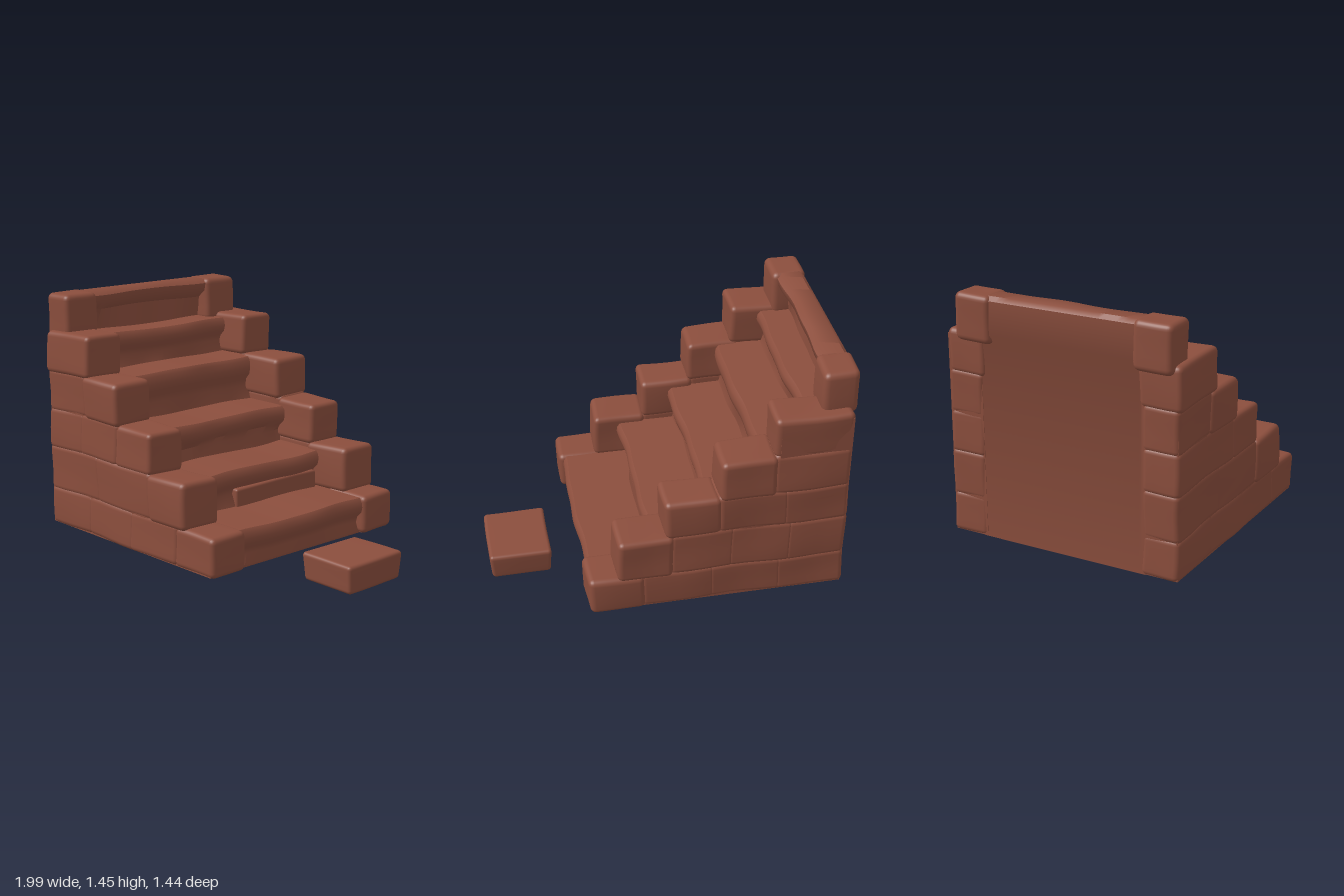
import * as THREE from 'three';
import { mergeVertices, toCreasedNormals } from 'three/addons/utils/BufferGeometryUtils.js';

const clay = new THREE.MeshStandardMaterial({ color: 0x8b4e3d });
clay.name = 'redClay';

// Smooth, repeatable unevenness for hand-cut stone
function wobble(x, y, z, a) {
  return [
    a * Math.sin(9 * z + 7 * y + 1) * Math.cos(5 * y - 4 * z),
    a * 0.6 * Math.sin(8 * x + 6 * z + 2),
    a * Math.sin(8 * x + 9 * y) * Math.cos(6 * y - 5 * x + 1),
  ];
}

// Rounded, slightly uneven block between two corners; taper narrows its foot
function stone(name, min, max, r = 0.035, a = 0.008, taper = 0) {
  const n = 10;
  let g = new THREE.BoxGeometry(1, 1, 1, n, n, n);
  g.deleteAttribute('normal');
  g.deleteAttribute('uv');
  g = mergeVertices(g);
  const p = g.attributes.position;
  for (let i = 0; i < p.count; i++) {
    const raw = [p.getX(i), p.getY(i), p.getZ(i)];
    // Pack the outer three rings of the grid into the rounded edge
    const q = raw.map((v, k) => {
      const t = Math.round((v + 0.5) * n);
      const size = max[k] - min[k];
      const edge = Math.min(t, n - t);
      const d = edge <= 3 ? r * edge / 3 : r + (size - 2 * r) * (edge - 3) / (n - 6);
      return t <= n / 2 ? min[k] + d : max[k] - d;
    });
    const c = q.map((v, k) => Math.min(Math.max(v, min[k] + r), max[k] - r));
    const d = new THREE.Vector3(q[0] - c[0], q[1] - c[1], q[2] - c[2]);
    if (d.lengthSq() > 0) d.setLength(r);
    const v = [c[0] + d.x, c[1] + d.y, c[2] + d.z];
    const w = wobble(...v, a);
    const h = (v[1] - min[1]) / (max[1] - min[1]);
    const s = 1 - taper * (1 - h);
    const mx = (min[0] + max[0]) / 2, mz = (min[2] + max[2]) / 2;
    p.setXYZ(i, mx + (v[0] - mx) * s + w[0], v[1] + w[1], mz + (v[2] - mz) * s + w[2]);
  }
  g.computeVertexNormals();
  const mesh = new THREE.Mesh(g, clay);
  mesh.name = name;
  return mesh;
}

// Side profile swept along z, with wavy step edges
function sweep(name, points, z0, z1, a) {
  const shape = new THREE.Shape(points.map(([x, y]) => new THREE.Vector2(x, y)));
  const g = new THREE.ExtrudeGeometry(shape, { depth: z1 - z0, steps: 28, bevelEnabled: false });
  g.translate(0, 0, z0);
  const p = g.attributes.position;
  for (let i = 0; i < p.count; i++) {
    const x = p.getX(i), y = p.getY(i), z = p.getZ(i);
    if (x < -0.9 || y < 0.1) continue;
    const k = Math.round(y * 4.3) * 1.7;
    p.setX(i, x + a * (Math.sin(7 * z + k) + 0.5 * Math.sin(17 * z + 2 * k)));
    p.setY(i, y + a * 0.5 * Math.sin(9 * z + 2 * k));
  }
  const mesh = new THREE.Mesh(toCreasedNormals(g, 0.75), clay);
  mesh.name = name;
  return mesh;
}

export function createModel() {
  const group = new THREE.Group();
  group.name = 'stoneStairs';
  const base = 0.08, back = -0.955;

  // Treads with rounded nosings over hollow risers, from the foot upwards
  const treads = [[0.48, 0.3], [0.13, 0.515], [-0.18, 0.735], [-0.46, 1.0], [-0.7, 1.21]];
  const profile = [[-0.945, base], [0.44, base]];
  let floor = base;
  for (const [x, y] of treads) {
    const h = y - floor;
    profile.push(
      [x - 0.035, floor + (floor > base ? 0 : 0.015)], [x - 0.05, floor + h * 0.3],
      [x - 0.04, floor + h * 0.46], [x - 0.008, floor + h * 0.6],
      [x, floor + h * 0.75], [x - 0.004, y - 0.022], [x - 0.022, y - 0.002]);
    floor = y;
  }
  // Hollow face and overhanging lip of the top wall
  profile.push([-0.885, 1.21], [-0.885, 1.335], [-0.83, 1.38], [-0.822, 1.425],
    [-0.85, 1.447], [-0.95, 1.447], [-0.975, 1.425], [-0.975, 1.24], [-0.945, 1.19]);
  group.add(sweep('steps', profile, -0.5, 0.5, 0.007));

  // Low patch of stone on the second riser
  group.add(stone('riserPatch', [0.02, 0.27, -0.45], [0.115, 0.4, 0.18], 0.015, 0.004));

  // Side walls: stepped core, course blocks and projecting end stones
  const tops = [0.305, 0.555, 0.78, 1.01, 1.24];
  const sides = [
    { name: 'frontWall', s: 1, ends: [0.49, 0.27, -0.02, -0.3, -0.55], out: [0.7, 0.712, 0.7, 0.712, 0.71] },
    { name: 'backWall', s: -1, ends: [0.49, 0.33, 0.065, -0.235, -0.525], out: [0.71, 0.715, 0.7, 0.715, 0.69] },
  ];
  for (const { name, s, ends, out } of sides) {
    const wall = new THREE.Group();
    wall.name = name;
    const core = [[back + 0.008, base + 0.004], [ends[0] - 0.03, base + 0.004]];
    tops.forEach((y, i) => {
      core.push([ends[i] - 0.03, y - 0.03]);
      if (i < 4) core.push([ends[i + 1] - 0.03, y - 0.03]);
    });
    core.push([back + 0.008, 1.21]);
    wall.add(sweep('wallCore', core, s > 0 ? 0.48 : -0.688, s > 0 ? 0.688 : -0.48, 0));
    tops.forEach((y, i) => {
      const y0 = i ? tops[i - 1] - 0.015 : base;
      const span = (inner, outer) => (s > 0 ? [inner, outer] : [-outer, -inner]);
      const add = (label, x0, x1, inner, outer, top) => {
        const [z0, z1] = span(inner, outer);
        wall.add(stone(label, [x0, y0, z0], [x1, top, z1], 0.032, 0.007));
      };
      const joint = i === 4 ? back : ends[i] - 0.31;
      add('endStone', joint, ends[i], 0.46, out[i], y);
      // Remaining length of the course, split into even blocks
      const count = Math.round((joint - back) / 0.38);
      for (let k = 0; k < count; k++) {
        const w = (joint - back) / count;
        add('courseStone', back + k * w - (k ? 0.02 : 0), back + (k + 1) * w + 0.02, 0.475, 0.698, y + 0.01);
      }
    });
    group.add(wall);
  }

  // Corner posts of the top wall
  group.add(stone('frontPost', [-0.988, 1.19, 0.445], [-0.79, 1.452, 0.672], 0.035, 0.006));
  group.add(stone('backPost', [-0.988, 1.19, -0.62], [-0.79, 1.452, -0.395], 0.035, 0.006));

  // Loose stone lying before the stairs
  group.add(stone('looseStone', [0.635, 0.003, -0.23], [0.995, 0.163, 0.19], 0.022, 0.003, 0.06));
  return group;
}
